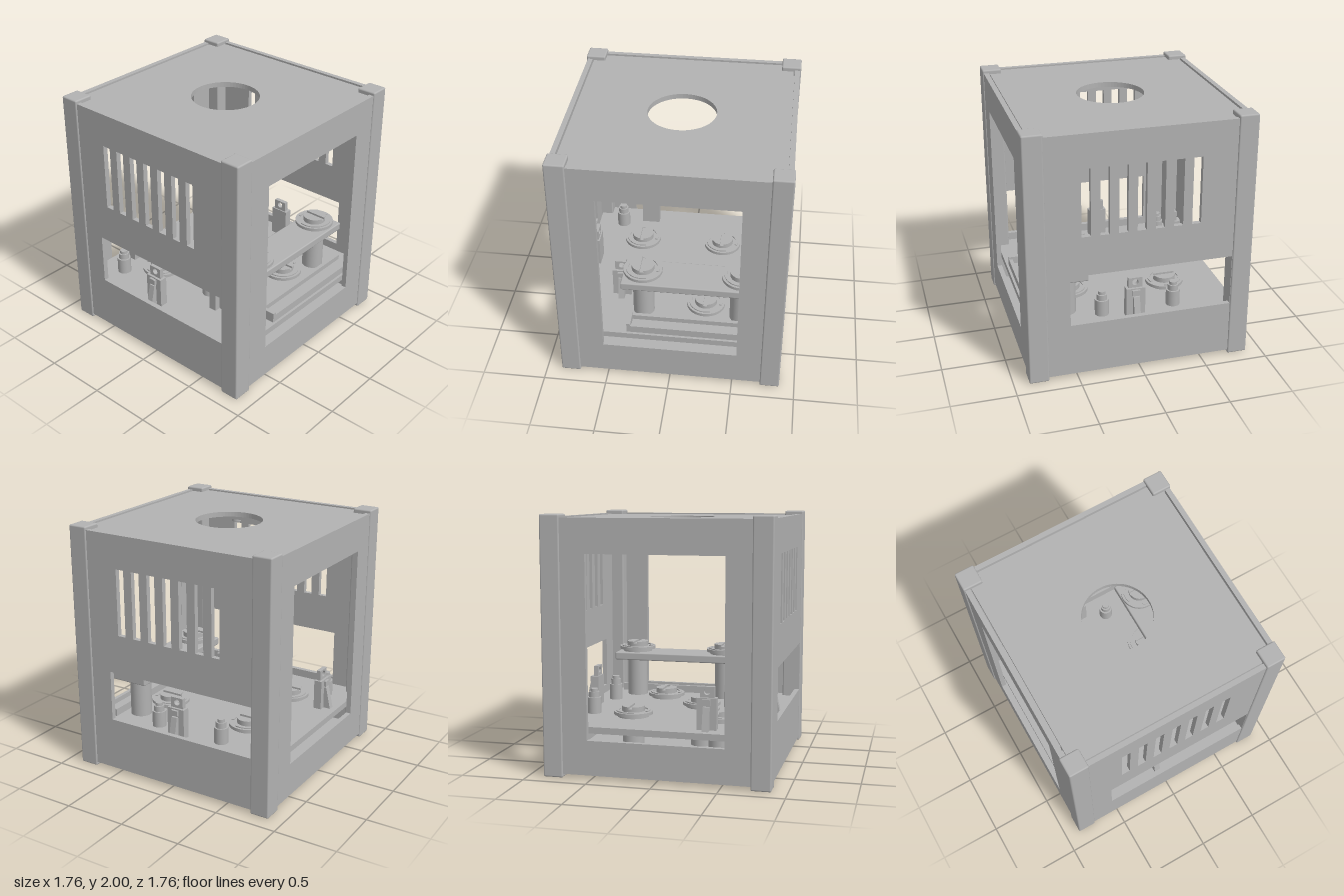
import * as THREE from 'three';
import { RoundedBoxGeometry } from 'three/addons/geometries/RoundedBoxGeometry.js';

const grey = new THREE.MeshStandardMaterial({ color: 0xb2b2b2 });
grey.name = 'plainGrey';

function add(parent, name, geometry, x = 0, y = 0, z = 0) {
  const mesh = new THREE.Mesh(geometry, grey);
  mesh.name = name;
  mesh.position.set(x, y, z);
  parent.add(mesh);
  return mesh;
}

// Box given by its limits on each axis
function box(parent, name, x0, x1, y0, y1, z0, z1) {
  return add(parent, name, new THREE.BoxGeometry(x1 - x0, y1 - y0, z1 - z0),
    (x0 + x1) / 2, (y0 + y1) / 2, (z0 + z1) / 2);
}

// Upright cylinder standing on y0
function cyl(parent, name, r, y0, y1, x = 0, z = 0) {
  return add(parent, name, new THREE.CylinderGeometry(r, r, y1 - y0, 36), x, (y0 + y1) / 2, z);
}

function rectPath(PathType, x0, x1, y0, y1) {
  const p = new PathType();
  p.moveTo(x0, y0).lineTo(x1, y0).lineTo(x1, y1).lineTo(x0, y1).closePath();
  return p;
}

const extrude = (shape, depth) =>
  new THREE.ExtrudeGeometry(shape, { depth, bevelEnabled: false, curveSegments: 32 });

// Front and back wall with one tall window
function windowPanel() {
  const s = rectPath(THREE.Shape, -0.73, 0.73, 0.03, 1.975);
  s.holes.push(rectPath(THREE.Path, -0.53, 0.53, 0.3, 1.71));
  return extrude(s, 0.04);
}

// Side wall with seven vents and a low opening that runs to one post
function ventPanel() {
  const s = rectPath(THREE.Shape, -0.73, 0.73, 0.03, 1.975);
  for (let i = -3; i <= 3; i++) {
    s.holes.push(rectPath(THREE.Path, i * 0.141 - 0.035, i * 0.141 + 0.035, 1.18, 1.71));
  }
  s.holes.push(rectPath(THREE.Path, -0.55, 0.722, 0.455, 0.865));
  return extrude(s, 0.04);
}

// Slotted fastener: washer, flanged disc with raised arcs, split knob
function fastener(parent, x, y, z) {
  const g = new THREE.Group();
  g.name = 'fastener';
  g.position.set(x, y, z);
  cyl(g, 'washer', 0.125, 0, 0.02);
  cyl(g, 'disc', 0.155, 0.02, 0.045);
  cyl(g, 'knobCore', 0.09, 0.045, 0.07);
  for (const a of [0, Math.PI]) {
    const half = new THREE.Shape();
    half.absarc(0, 0, 0.09, -1.4, 1.4, false);
    half.closePath();
    const m = add(g, 'knobHalf', extrude(half, 0.017), 0, 0.069, 0);
    m.rotation.set(-Math.PI / 2, 0, a);
    const arc = new THREE.Shape();
    arc.absarc(0, 0, 0.135, -1.1, 1.1, false);
    arc.absarc(0, 0, 0.115, 1.1, -1.1, true);
    arc.closePath();
    const r = add(g, 'raisedArc', extrude(arc, 0.008), 0, 0.045, 0);
    r.rotation.set(-Math.PI / 2, 0, a + 0.8);
  }
  parent.add(g);
}

// Stepped terminal post
function terminal(parent, x, z) {
  const g = new THREE.Group();
  g.name = 'terminal';
  g.position.set(x, 0.395, z);
  cyl(g, 'terminalBase', 0.055, 0, 0.13);
  cyl(g, 'terminalCollar', 0.042, 0.13, 0.175);
  cyl(g, 'terminalTip', 0.03, 0.175, 0.2);
  parent.add(g);
}

// Latch block with a drilled tab and a slanted lever, facing local +z
function latch(parent, x, z, turn) {
  const g = new THREE.Group();
  g.name = 'latch';
  g.position.set(x, 0.395, z);
  g.rotation.y = turn;
  box(g, 'latchBody', -0.075, 0.075, 0, 0.245, -0.045, 0.02);
  const tab = rectPath(THREE.Shape, -0.055, 0.055, 0.2, 0.328);
  const hole = new THREE.Path();
  hole.absarc(0, 0.29, 0.025, 0, Math.PI * 2, true);
  tab.holes.push(hole);
  add(g, 'latchTab', extrude(tab, 0.035), 0, 0, -0.035);
  const side = new THREE.Shape();
  side.moveTo(0, 0).lineTo(0.06, 0).lineTo(0.02, 0.18).lineTo(0, 0.18).closePath();
  const lever = add(g, 'latchLever', extrude(side, 0.05), 0.025, 0, 0.02);
  lever.rotation.y = -Math.PI / 2;
  box(g, 'latchButton', -0.03, 0.03, 0.19, 0.235, 0.02, 0.04);
  parent.add(g);
}

export function createModel() {
  const model = new THREE.Group();
  model.name = 'ventedEnclosure';

  // Corner posts
  for (const sx of [-1, 1]) for (const sz of [-1, 1]) {
    add(model, 'cornerPost', new RoundedBoxGeometry(0.155, 2, 0.155, 2, 0.012), sx * 0.8025, 1, sz * 0.8025);
  }

  // Walls
  add(model, 'frontPanel', windowPanel(), 0, 0, 0.83);
  add(model, 'backPanel', windowPanel(), 0, 0, -0.87);
  add(model, 'leftPanel', ventPanel(), 0.83, 0, 0).rotation.y = Math.PI / 2;
  add(model, 'rightPanel', ventPanel(), -0.83, 0, 0).rotation.y = -Math.PI / 2;

  // Top with a round hole, and bottom
  const top = rectPath(THREE.Shape, -0.82, 0.82, -0.82, 0.82);
  const round = new THREE.Path();
  round.absarc(0, 0, 0.265, 0, Math.PI * 2, true);
  top.holes.push(round);
  add(model, 'topPlate', extrude(top, 0.04), 0, 1.925, 0).rotation.x = -Math.PI / 2;
  box(model, 'bottomPlate', -0.82, 0.82, 0.035, 0.075, -0.82, 0.82);

  // Rails under the top with screws beneath
  for (const s of [-1, 1]) {
    add(model, 'topRail', new THREE.BoxGeometry(0.14, 0.15, 1.45), s * 0.76, 1.85, 0);
    for (const z of [-0.57, 0.385]) cyl(model, 'railScrew', 0.04, 1.75, 1.78, s * 0.745, z);
  }

  // Inner floor on pillars
  box(model, 'floorPlate', -0.82, 0.82, 0.345, 0.395, -0.82, 0.82);
  for (const [x, z] of [[-0.39, -0.37], [0.31, -0.37], [-0.14, 0.1], [0.245, 0.42]]) {
    cyl(model, 'floorPillar', 0.087, 0.075, 0.345, x, z);
    fastener(model, x, 0.395, z);
  }

  // Raised bridge bar on two pillars
  const bridge = new RoundedBoxGeometry(1.1, 0.065, 0.31, 2, 0.01);
  add(model, 'bridgeBar', bridge, 0.14, 0.7475, 0.515);
  for (const x of [-0.25, 0.53]) {
    cyl(model, 'bridgePillar', 0.085, 0.395, 0.715, x, 0.515);
    fastener(model, x, 0.78, 0.515);
  }

  // Channel along the front of the floor
  box(model, 'channelBase', -0.35, 0.7, 0.395, 0.415, 0.64, 0.8);
  box(model, 'channelLip', -0.35, 0.7, 0.415, 0.455, 0.64, 0.67);
  box(model, 'channelLip', -0.35, 0.7, 0.415, 0.455, 0.77, 0.8);
  box(model, 'channelEnd', -0.35, -0.32, 0.415, 0.475, 0.64, 0.8);

  // Terminals and latches around the edge
  for (const [x, z] of [[0.65, 0.25], [0.65, -0.33], [-0.375, 0.155], [-0.6, -0.6]]) terminal(model, x, z);
  latch(model, 0.75, 0.01, Math.PI / 2);
  latch(model, -0.75, -0.08, -Math.PI / 2);
  latch(model, -0.455, 0.34, 0);
  latch(model, -0.36, -0.69, Math.PI);

  return model;
}
